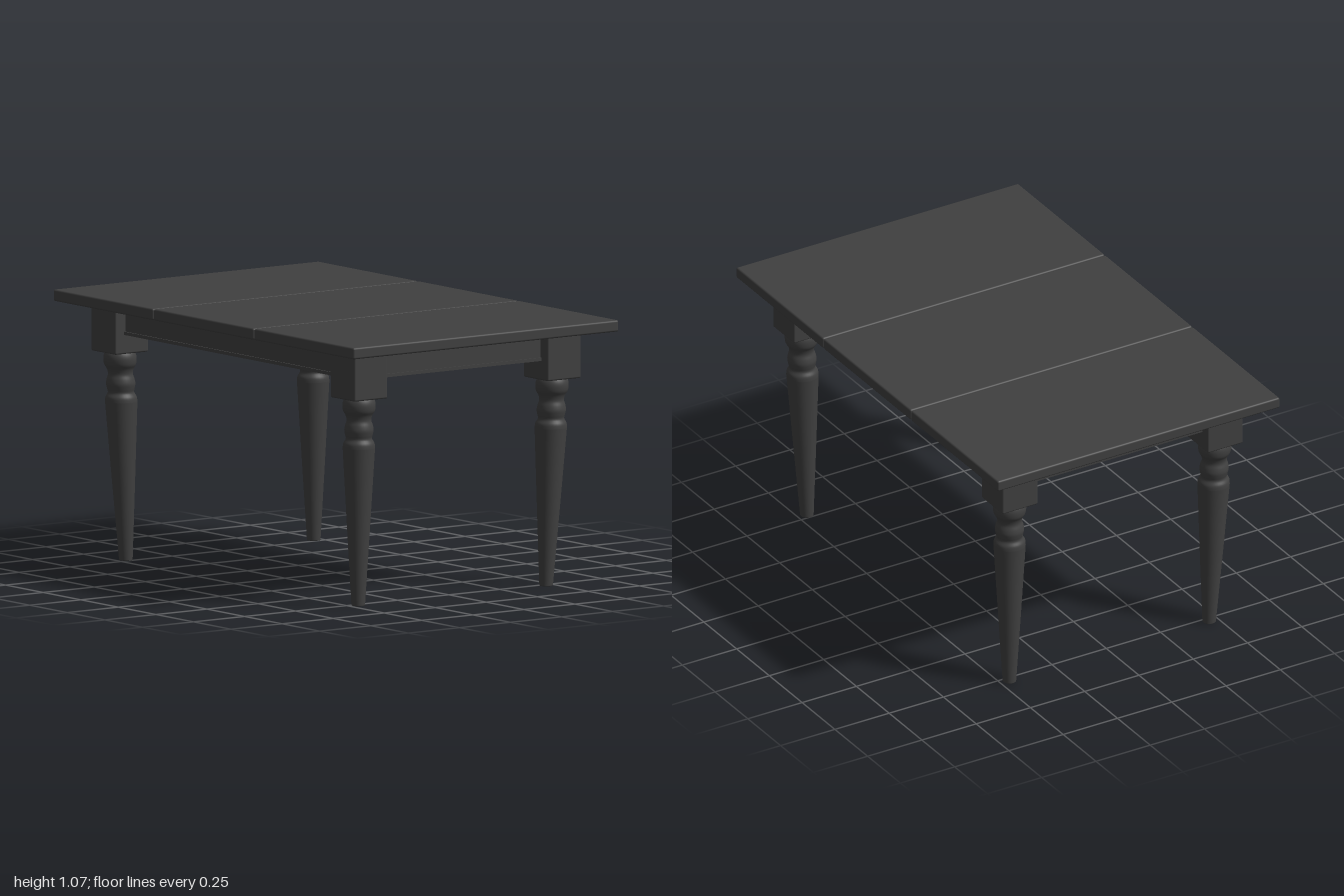
import * as THREE from 'three';
import { RoundedBoxGeometry } from 'three/addons/geometries/RoundedBoxGeometry.js';

const material = new THREE.MeshStandardMaterial({ color: 0x404040 });

function add(parent, name, geometry, x = 0, y = 0, z = 0) {
  const mesh = new THREE.Mesh(geometry, material);
  mesh.name = name;
  mesh.position.set(x, y, z);
  parent.add(mesh);
  return mesh;
}

const LEG_X = 0.473, LEG_Z = 0.796, BLOCK = 0.163;
const BLOCK_BOTTOM = 0.831, TOP_BOTTOM = 1.022, TOP = 1.068;

// Turned leg: smooth beads above a straight taper, leaning slightly inward
function turnedLeg(sx, sz) {
  const beads = new THREE.SplineCurve([
    [0.064, 0.63], [0.062, 0.65], [0.052, 0.668], [0.055, 0.685], [0.058, 0.703],
    [0.055, 0.722], [0.049, 0.742], [0.053, 0.762], [0.063, 0.78], [0.066, 0.802],
    [0.063, 0.82], [0.055, 0.835],
  ].map(([r, y]) => new THREE.Vector2(r, y))).getPoints(44);
  const profile = [[0, 0], [0.025, 0], [0.027, 0.003], [0.046, 0.32]]
    .map(([r, y]) => new THREE.Vector2(r, y)).concat(beads);
  const geometry = new THREE.LatheGeometry(profile, 32);
  const p = geometry.attributes.position;
  for (let i = 0; i < p.count; i++) {
    const drop = 1 - p.getY(i) / BLOCK_BOTTOM;
    p.setX(i, p.getX(i) - sx * 0.013 * drop);
    p.setZ(i, p.getZ(i) - sz * 0.023 * drop);
  }
  return geometry;
}

export function createModel() {
  const table = new THREE.Group();
  table.name = 'table';

  // Three boards with narrow seams
  const boardLength = 2 / 3 - 0.003;
  for (let i = -1; i <= 1; i++) {
    add(table, 'topBoard', new RoundedBoxGeometry(1.3, TOP - TOP_BOTTOM, boardLength, 3, 0.008),
      0, (TOP + TOP_BOTTOM) / 2, i * (2 - boardLength) / 2);
  }

  // Four legs, each with a square block
  for (const sx of [-1, 1]) {
    for (const sz of [-1, 1]) {
      const leg = new THREE.Group();
      leg.name = 'leg';
      leg.position.set(sx * LEG_X, 0, sz * LEG_Z);
      const height = TOP_BOTTOM - BLOCK_BOTTOM + 0.006;
      add(leg, 'legBlock', new RoundedBoxGeometry(BLOCK, height, BLOCK, 3, 0.007),
        0, BLOCK_BOTTOM + height / 2, 0);
      add(leg, 'turnedLeg', turnedLeg(sx, sz));
      table.add(leg);
    }
  }

  // Aprons between the blocks, with a shallow lip along the lower edge
  const spanX = 2 * LEG_X - BLOCK + 0.02;
  const spanZ = 2 * LEG_Z - BLOCK + 0.02;
  for (const s of [-1, 1]) {
    for (const [name, y0, y1, t] of [['apron', 0.92, TOP_BOTTOM, 0.045], ['apronLip', 0.908, 0.921, 0.057]]) {
      const y = (y0 + y1) / 2, h = y1 - y0;
      add(table, name, new THREE.BoxGeometry(spanX, h, t), 0, y, s * (LEG_Z + 0.01));
      add(table, name, new THREE.BoxGeometry(t, h, spanZ), s * (LEG_X + 0.01), y, 0);
    }
  }

  return table;
}
